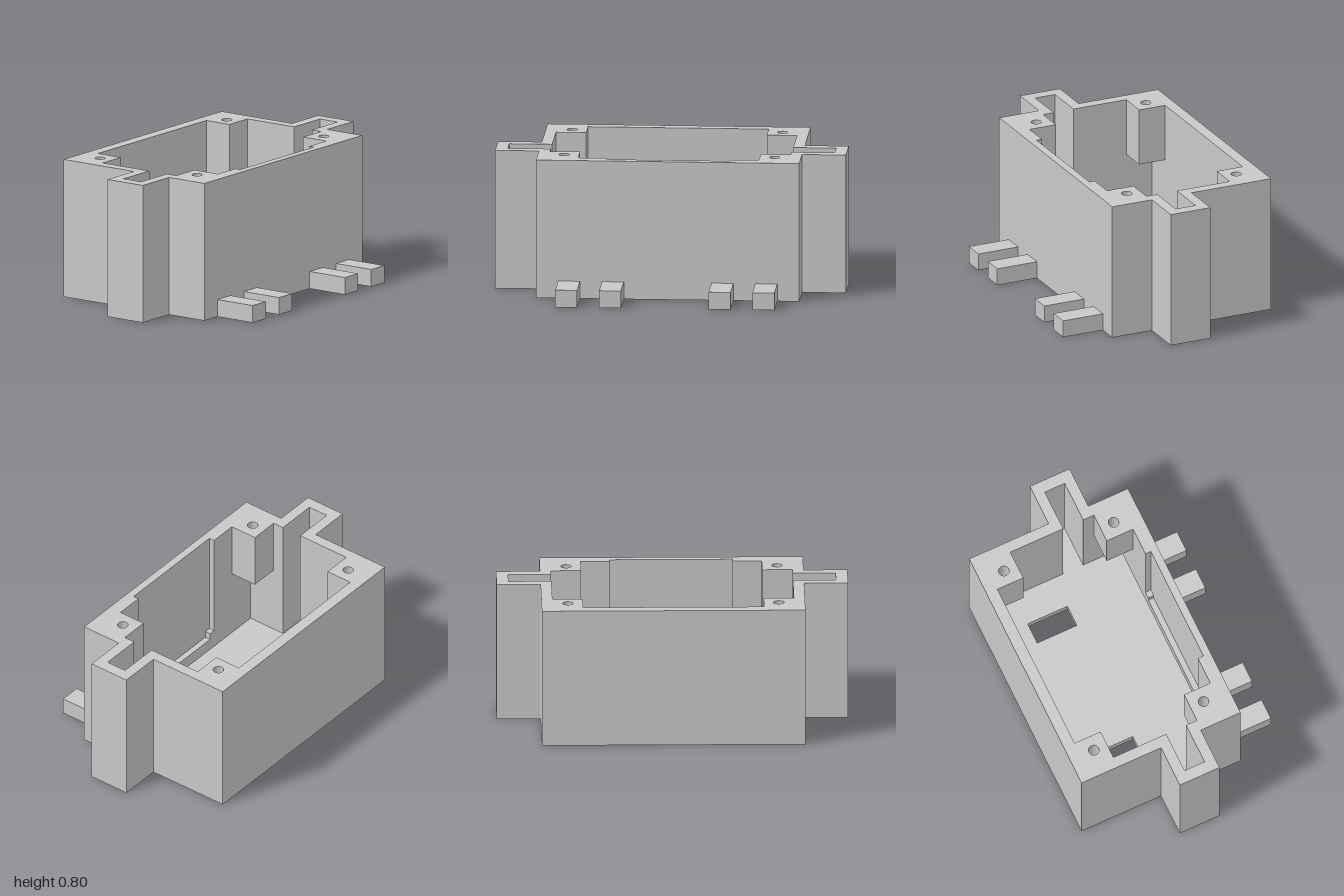
import * as THREE from 'three';

const HEIGHT = 0.802, FLOOR = 0.05, POST_BOTTOM = 0.467;

// Trace a closed loop from the points of its +x half, mirrored to -x.
// Points are [x, z], from the front to the back.
function mirrored(half) {
  const left = half.map(([x, z]) => [-x, z]).reverse();
  return half.concat(left).map(([x, z]) => new THREE.Vector2(x, -z));
}

// Cavity loop: front recess of the given half width, optional corner posts
function cavity(recess, posts) {
  const half = [];
  if (recess) half.push([recess, 0.33], [recess, 0.296]);
  if (posts) half.push([0.515, 0.296], [0.515, 0.13], [0.687, 0.13]);
  else half.push([0.687, 0.296]);
  half.push([0.687, 0.0625], [0.932, 0.0625], [0.932, -0.0625], [0.687, -0.0625]);
  if (posts) half.push([0.687, -0.395], [0.515, -0.395], [0.515, -0.558]);
  else half.push([0.687, -0.558]);
  return new THREE.Path(mirrored(half));
}

function circle(x, z, r) {
  return new THREE.Path().absarc(x, -z, r, 0, Math.PI * 2, true);
}

export function createModel() {
  const model = new THREE.Group();
  model.name = 'enclosure';
  const grey = new THREE.MeshStandardMaterial({ color: 0xc8c8c8 });
  grey.name = 'light grey plastic';

  // One horizontal slice of the casing, with holes cut through it
  function slice(name, y0, y1, holes) {
    const shape = new THREE.Shape(mirrored([
      [0.75, 0.375], [0.75, 0.125], [1, 0.125],
      [1, -0.125], [0.75, -0.125], [0.75, -0.625],
    ]));
    shape.holes.push(...holes);
    const geometry = new THREE.ExtrudeGeometry(shape, {
      depth: y1 - y0, bevelEnabled: false, curveSegments: 24,
    });
    geometry.rotateX(-Math.PI / 2).translate(0, y0, 0);
    const mesh = new THREE.Mesh(geometry, grey);
    mesh.name = name;
    model.add(mesh);
  }

  // Floor with two rectangular slots
  const slots = [-1, 1].map((s) => new THREE.Path(
    [[0.372, -0.375], [0.5, -0.375], [0.5, -0.125], [0.372, -0.125]]
      .map(([x, z]) => new THREE.Vector2(s * x, -z))));
  slice('floor', 0, FLOOR, slots);

  // Walls, with a shallow recess inside the front one
  slice('wallBase', FLOOR, 0.12, [cavity(0, false)]);
  slice('wallLedge', 0.12, 0.16, [cavity(0.313, false)]);
  slice('lowerWalls', 0.16, POST_BOTTOM, [cavity(0.35, false)]);

  // Upper walls carry the corner screw posts
  const screwHoles = [];
  for (const x of [-0.6, 0.6]) for (const z of [-0.477, 0.213]) screwHoles.push(circle(x, z, 0.03));
  slice('upperWallsAndPosts', POST_BOTTOM, HEIGHT, [cavity(0.35, true), ...screwHoles]);

  // Four feet in front
  for (const x of [-0.5625, -0.3125, 0.3125, 0.5625]) {
    const foot = new THREE.Mesh(new THREE.BoxGeometry(0.125, 0.1, 0.25), grey);
    foot.position.set(x, 0.05, 0.5);
    foot.name = 'frontFoot';
    model.add(foot);
  }
  return model;
}
